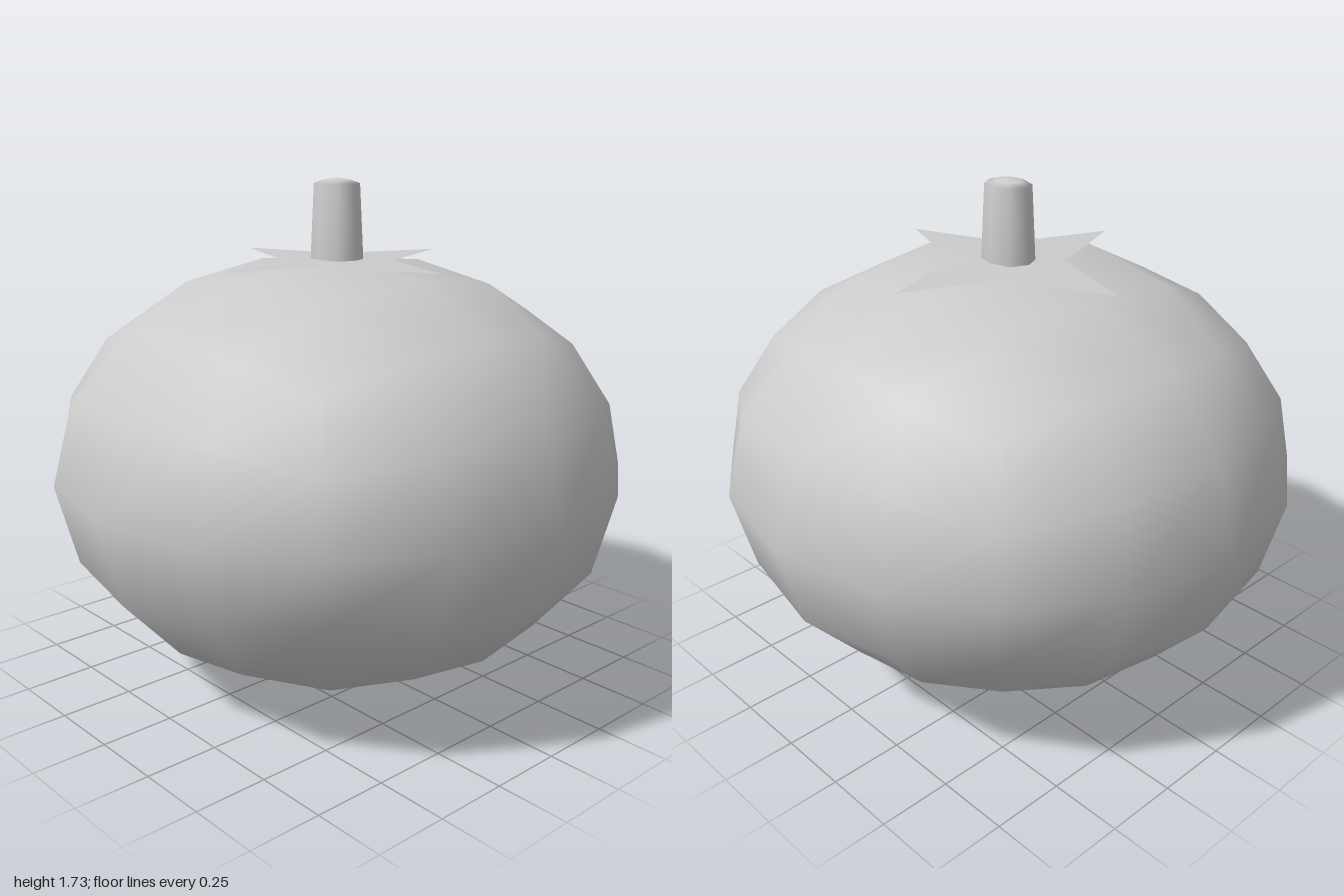
import * as THREE from 'three';
import { mergeVertices } from 'three/addons/utils/BufferGeometryUtils.js';

const material = new THREE.MeshStandardMaterial({ color: 0xcccccc });
const thinMaterial = new THREE.MeshStandardMaterial({ color: 0xcccccc, side: THREE.DoubleSide });

function addMesh(group, name, geometry, mat = material) {
  const mesh = new THREE.Mesh(geometry, mat);
  mesh.name = name;
  group.add(mesh);
  return mesh;
}

// Squashed sphere made from a rounded 4 x 4 x 4 cube
function fruitGeometry() {
  let geo = new THREE.BoxGeometry(2, 2, 2, 4, 4, 4);
  geo.deleteAttribute('uv');
  geo.deleteAttribute('normal');
  geo = mergeVertices(geo);
  const pos = geo.attributes.position;
  const p = new THREE.Vector3();
  const spread = (v) => (Math.abs(Math.abs(v) - 0.5) < 0.01 ? Math.sign(v) * 0.435 : v);
  for (let i = 0; i < pos.count; i++) {
    p.fromBufferAttribute(pos, i);
    p.set(spread(p.x), spread(p.y), spread(p.z)).normalize();
    // the crown is slightly flattened under the calyx
    pos.setXYZ(i, p.x, Math.min(0.748 + p.y * 0.745, 1.464), p.z * 0.987);
  }
  geo.computeVertexNormals();
  return geo;
}

// Thin four-pointed star, a little higher in the middle
function calyxGeometry() {
  const points = [0, 1.469, 0];
  const index = [];
  for (let i = 0; i < 8; i++) {
    const a = (i * Math.PI) / 4;
    const r = i % 2 ? 0.195 : 0.485;
    points.push(Math.cos(a) * r, 1.461, Math.sin(a) * r * 0.985);
    index.push(0, 1 + ((i + 1) % 8), 1 + i);
  }
  const geo = new THREE.BufferGeometry();
  geo.setAttribute('position', new THREE.Float32BufferAttribute(points, 3));
  geo.setIndex(index);
  geo.computeVertexNormals();
  return geo;
}

export function createModel() {
  const group = new THREE.Group();
  group.name = 'tomato';

  addMesh(group, 'fruit', fruitGeometry());
  addMesh(group, 'calyx', calyxGeometry(), thinMaterial);

  // Oval tapered stem with a shallow domed tip
  const profile = [[0.1, 1.44], [0.099, 1.47], [0.086, 1.718], [0.05, 1.73], [0, 1.736]]
    .map(([r, y]) => new THREE.Vector2(r, y));
  const stem = addMesh(group, 'stem', new THREE.LatheGeometry(profile, 8));
  stem.scale.z = 0.82;

  return group;
}
